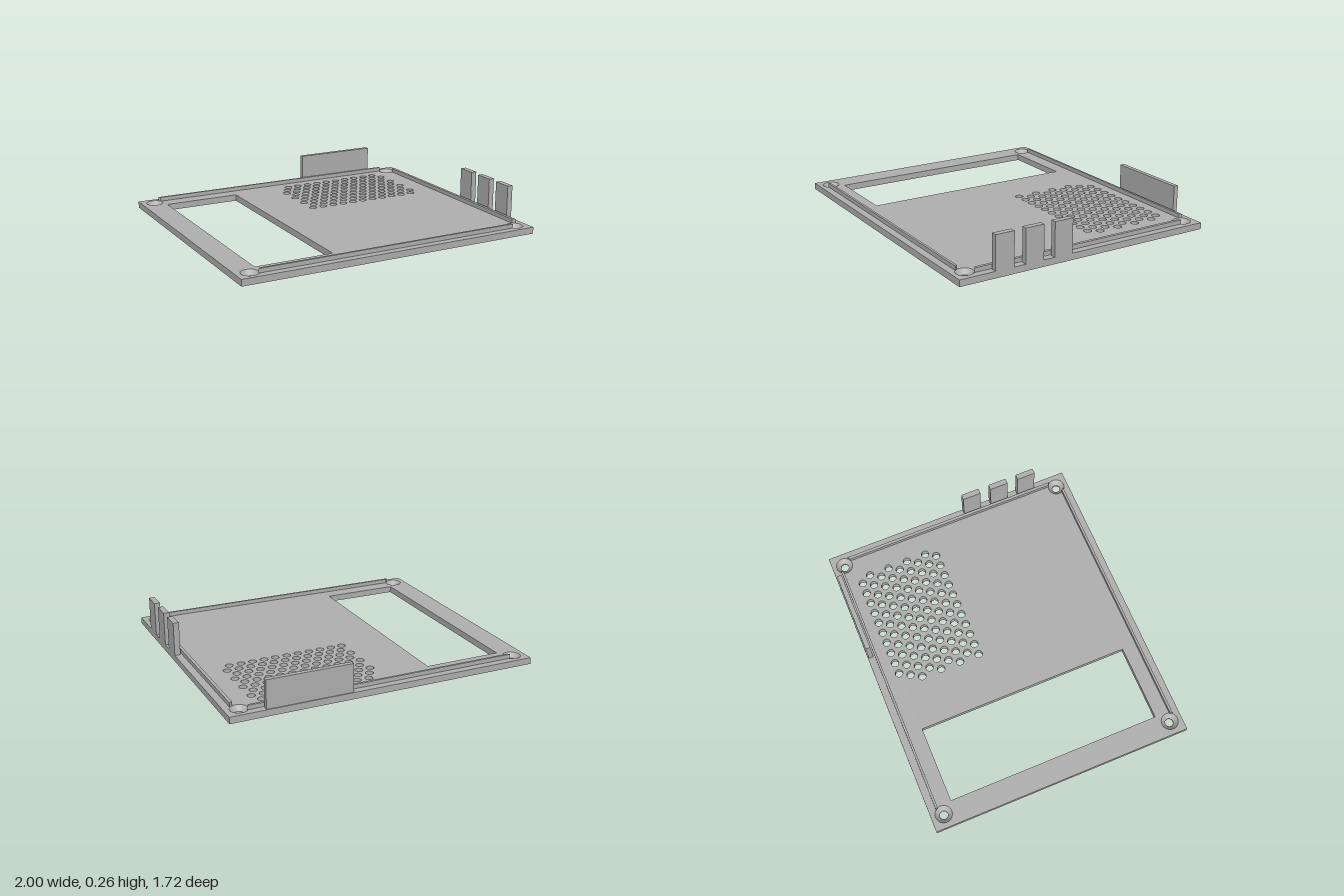
import * as THREE from 'three';

const W = 1, D = 0.862;            // half width and half depth of the plate
const SEAT = 0.013, TOP = 0.042;   // start of the countersinks, top of the plate
const RIDGE_TOP = 0.069;
const SCREW = { x: 0.913, z: 0.78, r: 0.026, head: 0.055 };

const grey = new THREE.MeshStandardMaterial({ color: 0xb0b0b0 });
grey.name = 'grey';

function add(parent, name, geometry) {
  const mesh = new THREE.Mesh(geometry, grey);
  mesh.name = name;
  parent.add(mesh);
  return mesh;
}

// Closed outline from [x, z] points
function outline(points, Type = THREE.Shape) {
  return new Type(points.map(([x, z]) => new THREE.Vector2(x, -z)));
}

function rectangle(x0, x1, z0, z1, Type) {
  return outline([[x0, z1], [x1, z1], [x1, z0], [x0, z0]], Type);
}

function circleHole(x, z, r) {
  const path = new THREE.Path();
  path.absarc(x, -z, r, 0, Math.PI * 2, true);
  return path;
}

// Raise an outline from y0 to y1
function raise(shape, y0, y1) {
  const g = new THREE.ExtrudeGeometry(shape, { depth: y1 - y0, bevelEnabled: false, curveSegments: 12 });
  return g.rotateX(-Math.PI / 2).translate(0, y0, 0);
}

function box(x0, x1, y0, y1, z0, z1) {
  return new THREE.BoxGeometry(x1 - x0, y1 - y0, z1 - z0)
    .translate((x0 + x1) / 2, (y0 + y1) / 2, (z0 + z1) / 2);
}

// Staggered vent hole centres; the first row lacks its first hole
function ventCentres() {
  const pitch = 0.0765, centres = [];
  for (let row = 0; row < 9; row++) {
    for (let i = row === 0 ? 1 : 0; i < 11; i++) {
      centres.push([-0.019 + (i + (row % 2) / 2) * pitch, -0.71 + row * pitch * 0.866]);
    }
  }
  return centres;
}

// One layer of the plate with window, vents and screw holes
function plateLayer(y0, y1, screwRadius) {
  const shape = rectangle(-W, W, -D, D);
  shape.holes.push(rectangle(-0.85, -0.35, -0.706, 0.706, THREE.Path));
  for (const [x, z] of ventCentres()) shape.holes.push(circleHole(x, z, 0.025));
  for (const sx of [-1, 1]) for (const sz of [-1, 1]) {
    shape.holes.push(circleHole(sx * SCREW.x, sz * SCREW.z, screwRadius));
  }
  return raise(shape, y0, y1);
}

export function createModel() {
  const model = new THREE.Group();
  model.name = 'ventedCoverPanel';

  // Plate
  const plate = new THREE.Group();
  plate.name = 'plate';
  model.add(plate);
  add(plate, 'lowerPlate', plateLayer(0, SEAT, SCREW.r));
  add(plate, 'upperPlate', plateLayer(SEAT, TOP, SCREW.head));

  // Conical screw seats
  const cone = new THREE.LatheGeometry(
    [new THREE.Vector2(SCREW.head, TOP), new THREE.Vector2(SCREW.r, SEAT)], 24);
  for (const sx of [-1, 1]) for (const sz of [-1, 1]) {
    add(plate, 'screwSeat', cone).position.set(sx * SCREW.x, 0, sz * SCREW.z);
  }

  // Locating ridges, their ends trimmed around the screw heads
  add(model, 'frontRidge', raise(outline(
    [[-0.874, 0.815], [0.874, 0.815], [0.864, 0.8], [-0.864, 0.8]]), TOP, RIDGE_TOP));
  add(model, 'backRidge', raise(outline(
    [[-0.864, -0.8], [0.864, -0.8], [0.874, -0.815], [-0.874, -0.815]]), TOP, RIDGE_TOP));
  add(model, 'leftRidge', raise(outline(
    [[0.933, 0.729], [0.953, 0.741], [0.953, -0.741], [0.933, -0.729]]), TOP, RIDGE_TOP));

  // Upright side tabs
  for (const z of [0.175, 0.372, 0.57]) {
    add(model, 'sideTab', box(0.963, W, TOP, 0.258, z - 0.062, z + 0.062));
  }

  // Wide tab at the back
  add(model, 'backTab', box(0.23, 0.776, TOP, 0.223, -0.856, -0.825));

  return model;
}
